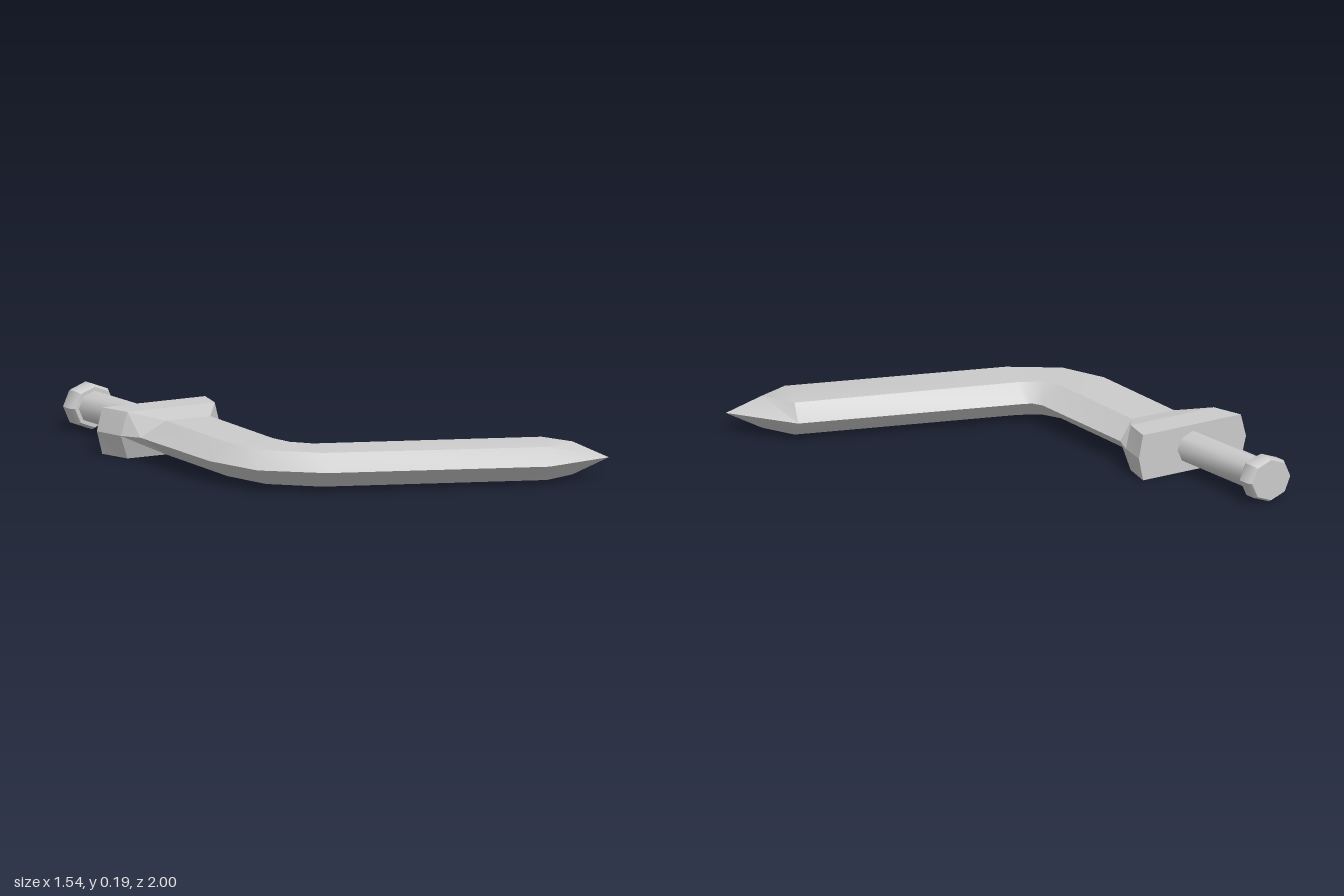
import * as THREE from 'three';
import { toCreasedNormals } from 'three/addons/utils/BufferGeometryUtils.js';

const material = new THREE.MeshStandardMaterial({ color: 0xcccccc });

// Six-sided section: left edge, flat left, flat right, right edge as [x, z], then top, middle and bottom heights
function section([l, fl, fr, r], top, mid, bottom) {
  const at = ([x, z], y) => [x, y, z];
  return [at(l, mid), at(fl, top), at(fr, top), at(r, mid), at(fr, bottom), at(fl, bottom)];
}

// Skins a row of sections running from back to front, closing the back end
function loft(rings, crease) {
  const n = rings[0].length;
  const index = [];
  for (let s = 0; s < rings.length - 1; s++) {
    for (let i = 0; i < n; i++) {
      const j = (i + 1) % n;
      const a = s * n + i, b = s * n + j, c = b + n, d = a + n;
      index.push(a, d, b, b, d, c);
    }
  }
  for (let i = 1; i < n - 1; i++) index.push(0, i, i + 1);
  const geometry = new THREE.BufferGeometry();
  geometry.setAttribute('position', new THREE.Float32BufferAttribute(rings.flat(2), 3));
  geometry.setIndex(index);
  return toCreasedNormals(geometry, crease);
}

// Eight-sided turned part pointing backwards, slightly flattened in height
function turned(profile, crease) {
  const geometry = new THREE.LatheGeometry(profile.map(([r, y]) => new THREE.Vector2(r, y)), 8);
  geometry.scale(1, 1, 0.9);
  geometry.rotateX(-Math.PI / 2);
  return toCreasedNormals(geometry, crease);
}

export function createModel() {
  const model = new THREE.Group();
  const add = (name, geometry, parent = model) => {
    const mesh = new THREE.Mesh(geometry, material);
    mesh.name = name;
    parent.add(mesh);
  };

  // Bent blade: straight root, rounded elbow, long arm and a pointed end
  const tip = [0.77, 0.925], ridge = [0.64, 0.865];
  add('blade', loft([
    section([[-0.69, -0.25], [-0.6, -0.205], [-0.4, -0.21], [-0.32, -0.25]], 0.165, 0.097, 0.03),
    section([[-0.68, 0.31], [-0.6, 0.31], [-0.4, 0.31], [-0.315, 0.31]], 0.163, 0.095, 0.028),
    section([[-0.6, 0.56], [-0.535, 0.51], [-0.37, 0.4], [-0.3, 0.36]], 0.16, 0.092, 0.024),
    section([[-0.38, 0.73], [-0.36, 0.65], [-0.295, 0.455], [-0.27, 0.38]], 0.156, 0.09, 0.021),
    section([[0.47, 0.995], [0.495, 0.925], [0.58, 0.72], [0.605, 0.655]], 0.15, 0.085, 0.018),
    section([tip, ridge, ridge, tip], 0.15, 0.085, 0.018),
  ], 0.6));

  // Flared guard narrowing into the blade root
  add('guard', loft([
    section([[-0.775, -0.455], [-0.75, -0.457], [-0.28, -0.479], [-0.26, -0.48]], 0.19, 0.097, 0.004),
    section([[-0.74, -0.32], [-0.71, -0.322], [-0.31, -0.342], [-0.285, -0.345]], 0.19, 0.097, 0.004),
    section([[-0.69, -0.25], [-0.6, -0.205], [-0.4, -0.21], [-0.32, -0.25]], 0.165, 0.097, 0.03),
  ], 0.15));

  // Grip and pommel share one slightly tilted axis
  const hilt = new THREE.Group();
  hilt.name = 'hilt';
  hilt.position.set(-0.517, 0.098, -0.44);
  hilt.rotation.y = 0.055;
  model.add(hilt);
  add('grip', turned([[0.073, 0], [0.073, 0.5]], 0.9), hilt);
  add('pommel', turned([
    [0, 0.47], [0.09, 0.47], [0.102, 0.49], [0.102, 0.54], [0.092, 0.557], [0, 0.557],
  ], 0.5), hilt);

  return model;
}
